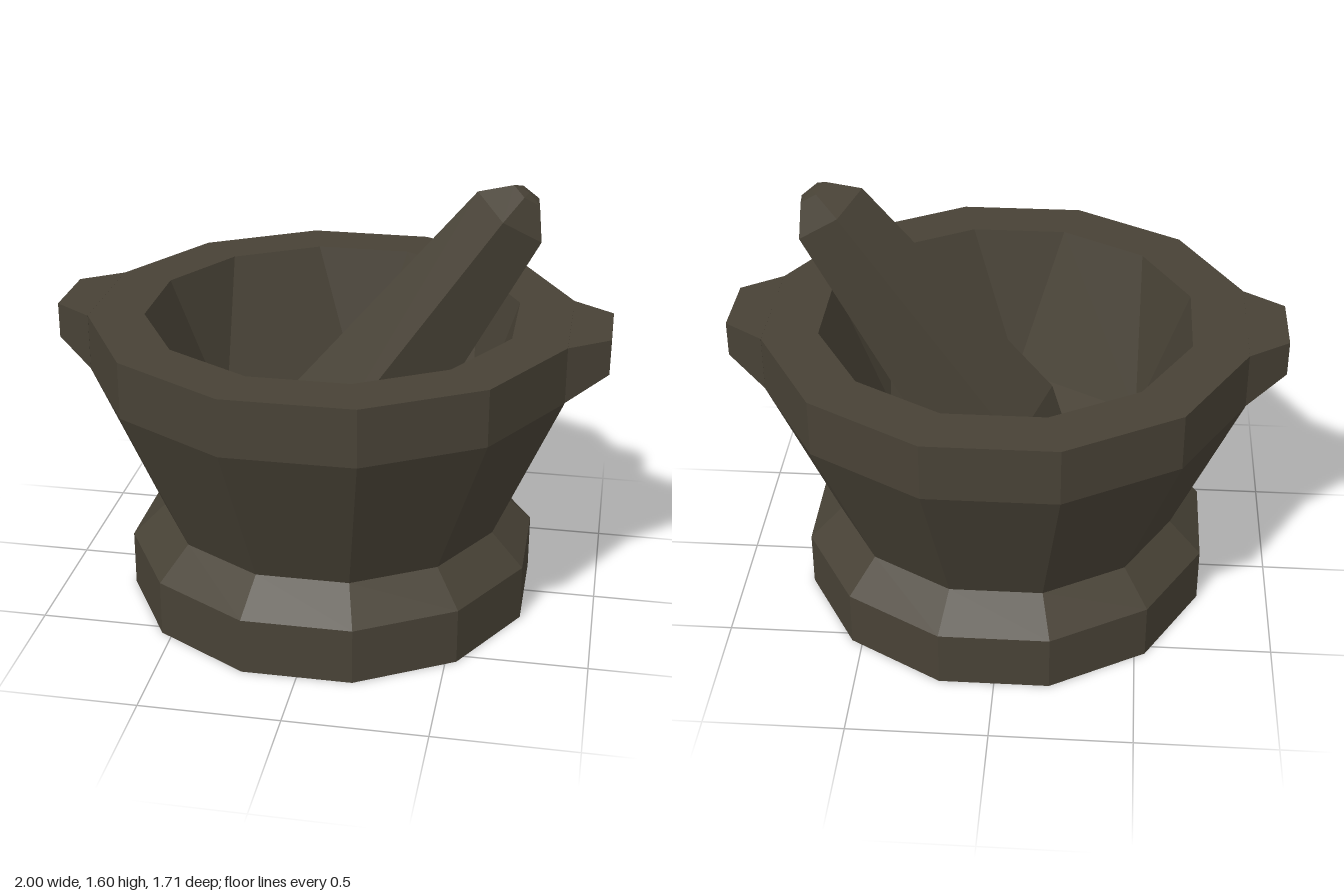
import * as THREE from 'three';
import { ConvexGeometry } from 'three/addons/geometries/ConvexGeometry.js';

const stone = new THREE.MeshStandardMaterial({ color: 0x484236 });
stone.name = 'darkStone';

// Faceted normals for low-poly surfaces
function faceted(geometry) {
  const g = geometry.index ? geometry.toNonIndexed() : geometry;
  g.computeVertexNormals();
  return g;
}

function facetedLathe(profile, sides, startDegrees) {
  const points = profile.map(([r, y]) => new THREE.Vector2(r, y));
  return faceted(new THREE.LatheGeometry(points, sides, THREE.MathUtils.degToRad(startDegrees), Math.PI * 2));
}

function part(name, geometry) {
  const mesh = new THREE.Mesh(geometry, stone);
  mesh.name = name;
  return mesh;
}

// Hollow: twelve-sided mouth narrowing to a six-sided ring, then a shallow pointed floor
function hollowGeometry() {
  const at = (r, y, degrees) => {
    const a = THREE.MathUtils.degToRad(degrees);
    return [r * Math.cos(a), y, r * Math.sin(a)];
  };
  const mouth = (d) => at(0.683, 1.1, d);
  const ring = (d) => at(0.555, 0.52, d);
  const centre = [0, 0.38, 0];
  const positions = [];
  const tri = (a, b, c) => positions.push(...a, ...b, ...c);
  for (let i = 0; i < 6; i++) {
    const d = 30 + i * 60;
    tri(mouth(d - 15), ring(d), mouth(d + 15));
    tri(mouth(d + 15), ring(d + 60), mouth(d + 45));
    tri(mouth(d + 15), ring(d), ring(d + 60));
    tri(ring(d), centre, ring(d + 60));
  }
  const g = new THREE.BufferGeometry();
  g.setAttribute('position', new THREE.Float32BufferAttribute(positions, 3));
  return faceted(g);
}

// Lug tapering out from one flat of the rim
function lugGeometry(side) {
  const points = [];
  for (const [x, halfWidth, bottom] of [[0.855, 0.23, 0.895], [1, 0.13, 0.97]]) {
    for (const z of [-halfWidth, halfWidth]) {
      for (const y of [bottom, 1.1]) points.push(new THREE.Vector3(side * x, y, z));
    }
  }
  return new ConvexGeometry(points);
}

export function createModel() {
  const model = new THREE.Group();
  model.name = 'mortarAndPestle';

  // Mortar outside: foot, waist, flared body and flat rim
  const mortar = new THREE.Group();
  mortar.name = 'mortar';
  mortar.add(part('mortarBody', facetedLathe([
    [0, 0], [0.762, 0], [0.762, 0.208], [0.64, 0.328],
    [0.885, 0.893], [0.885, 1.1], [0.683, 1.1],
  ], 12, 15)));
  mortar.add(part('mortarHollow', hollowGeometry()));
  mortar.add(part('leftLug', lugGeometry(1)), part('rightLug', lugGeometry(-1)));
  model.add(mortar);

  // Five-sided pestle leaning towards the left lug
  const pestle = part('pestle', facetedLathe([
    [0, -0.29], [0.11, -0.26], [0.205, -0.18], [0.26, 0],
    [0.148, 1.035], [0.06, 1.125], [0, 1.133],
  ], 5, 62));
  pestle.position.set(0.05, 0.636, 0);
  pestle.rotation.z = THREE.MathUtils.degToRad(-34.1);
  model.add(pestle);

  return model;
}
